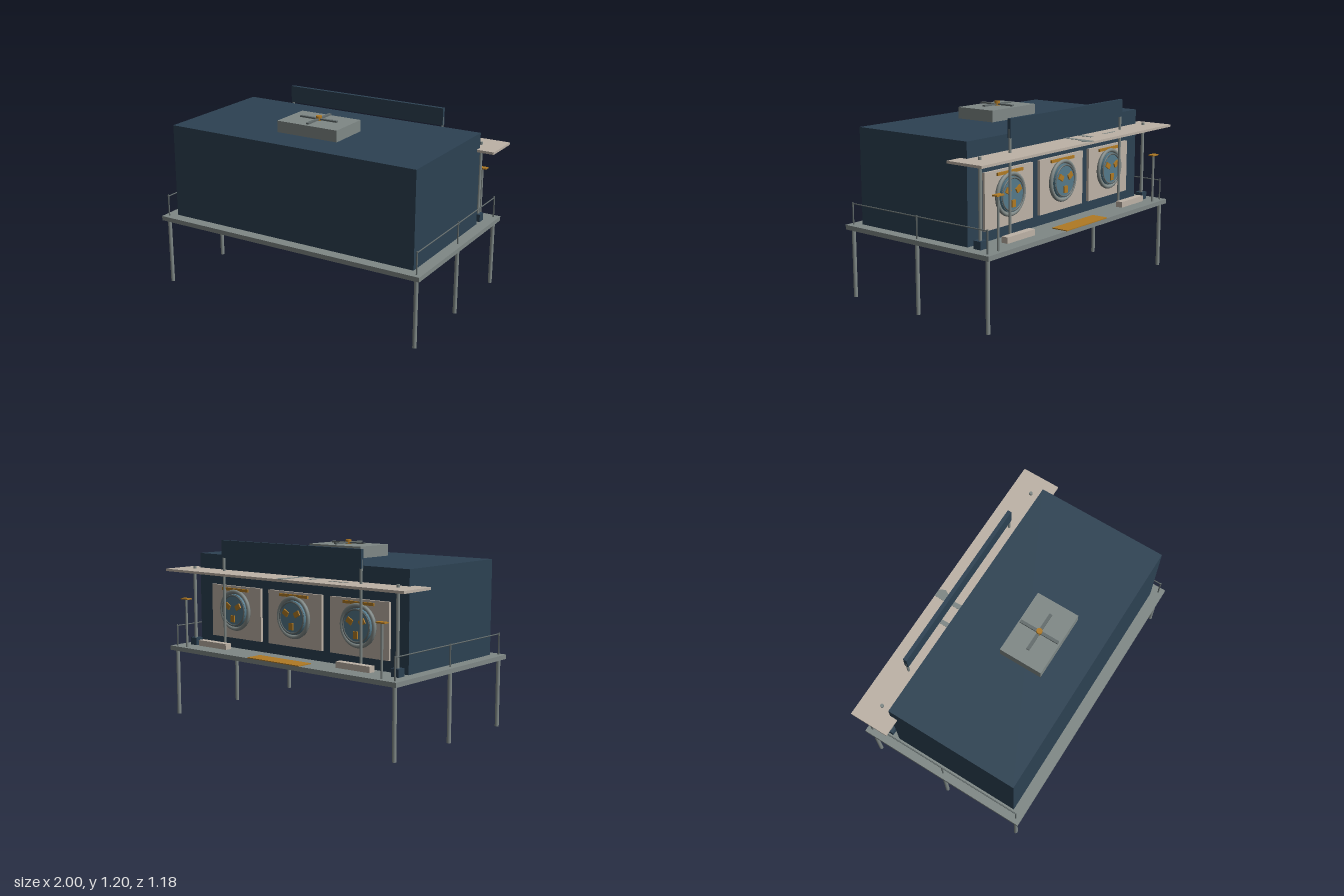
import * as THREE from 'three';

const mat = (name, color) => {
  const m = new THREE.MeshStandardMaterial({ color });
  m.name = name;
  return m;
};

export function createModel() {
  const navy = mat('navy', 0x2c4152);
  const grey = mat('grey', 0x7f8886);
  const darkGrey = mat('dark grey', 0x626b6b);
  const beige = mat('beige', 0xbdb2a6);
  const ochre = mat('ochre', 0xb07a24);
  const teal = mat('teal', 0x54798a);

  const model = new THREE.Group();
  model.name = 'stiltBuilding';

  const add = (name, geo, material, x, y, z, parent = model) => {
    const m = new THREE.Mesh(geo, material);
    m.name = name;
    m.position.set(x, y, z);
    parent.add(m);
    return m;
  };
  // box given by its centre in x and z and its bottom and top in y
  const box = (name, material, w, d, y0, y1, x, z, parent) =>
    add(name, new THREE.BoxGeometry(w, y1 - y0, d), material, x, (y0 + y1) / 2, z, parent);
  const pole = (name, material, r, y0, y1, x, z) =>
    add(name, new THREE.CylinderGeometry(r, r, y1 - y0, 12), material, x, (y0 + y1) / 2, z);
  // disc whose axis runs along z
  const disc = (name, material, r, z0, z1, parent) => {
    const g = new THREE.CylinderGeometry(r, r, z1 - z0, 32).rotateX(Math.PI / 2);
    return add(name, g, material, 0, 0, (z0 + z1) / 2, parent);
  };

  // platform and main hall
  box('platform', grey, 1.92, 1.18, 0.445, 0.475, 0, 0);
  box('hall', navy, 1.77, 0.885, 0.475, 1.095, 0, 0.073);

  // legs and side railings
  for (const s of [-1, 1]) {
    for (const z of [-0.555, 0, 0.555]) {
      pole('leg', grey, 0.013, 0, 0.446, s * 0.925, z);
      pole('railingPost', darkGrey, 0.005, 0.475, 0.62, s * 0.925, z);
    }
    const rail = new THREE.CylinderGeometry(0.004, 0.004, 1.12, 8).rotateX(Math.PI / 2);
    add('handrail', rail, darkGrey, s * 0.925, 0.611, 0);
  }

  // roof ventilator
  box('ventHousing', grey, 0.44, 0.29, 1.095, 1.17, 0, 0.147);
  box('fanBlade', darkGrey, 0.27, 0.02, 1.175, 1.185, 0, 0.147);
  box('fanBlade', darkGrey, 0.02, 0.27, 1.175, 1.185, 0, 0.147);
  pole('fanHub', ochre, 0.019, 1.17, 1.2, 0, 0.147);

  // awning with worn patches
  box('awning', beige, 2, 0.26, 0.98, 0.996, 0, -0.45);
  const patch = (points) => {
    const shape = new THREE.Shape(points.map(([x, z]) => new THREE.Vector2(x, -z)));
    const g = new THREE.ExtrudeGeometry(shape, { depth: 0.002, bevelEnabled: false });
    add('awningPatch', g.rotateX(-Math.PI / 2), grey, 0, 0.996, 0);
  };
  patch([[-0.08, -0.58], [-0.03, -0.58], [-0.01, -0.54], [-0.05, -0.47], [-0.045, -0.37], [-0.08, -0.37]]);
  patch([[-0.22, -0.475], [-0.19, -0.475], [-0.19, -0.38], [-0.22, -0.38]]);
  patch([[-0.5, -0.455], [-0.47, -0.467], [-0.35, -0.465], [-0.35, -0.455]]);

  // sign board
  box('signBoard', navy, 1.18, 0.025, 1.085, 1.2, 0, -0.438);

  // posts, bollards and benches on both sides
  for (const s of [-1, 1]) {
    pole('signPost', grey, 0.009, 0.475, 1.14, s * 0.582, -0.438);
    pole('awningPost', grey, 0.011, 0.475, 1.013, s * 0.86, -0.445);
    box('postBase', navy, 0.055, 0.055, 0.475, 0.525, s * 0.86, -0.443);
    pole('bollard', grey, 0.008, 0.475, 0.8, s * 0.83, -0.555);
    box('bollardCap', ochre, 0.065, 0.04, 0.798, 0.806, s * 0.83, -0.555);
    box('bench', beige, 0.26, 0.046, 0.493, 0.531, s * 0.6, -0.518);
  }
  box('doormat', ochre, 0.44, 0.113, 0.475, 0.481, 0, -0.536);

  // three round-doored panels
  for (const x of [-0.525, 0, 0.525]) {
    const unit = new THREE.Group();
    unit.name = 'washerPanel';
    unit.position.set(x, 0.735, 0);
    model.add(unit);
    box('panel', beige, 0.455, 0.02, -0.19, 0.16, 0, -0.378, unit);
    box('panelBar', ochre, 0.24, 0.012, 0.128, 0.146, 0, -0.394, unit);
    disc('doorBack', darkGrey, 0.135, -0.396, -0.385, unit);
    add('doorRing', new THREE.TorusGeometry(0.125, 0.013, 10, 40), grey, 0, 0, -0.398, unit);
    disc('doorGlass', teal, 0.108, -0.415, -0.39, unit);
    add('innerRing', new THREE.TorusGeometry(0.1, 0.006, 8, 36), darkGrey, 0, 0, -0.414, unit);
    for (let i = 0; i < 3; i++) {
      const a = -Math.PI / 2 + (i * 2 * Math.PI) / 3;
      const pad = add('drumPaddle', new THREE.BoxGeometry(0.045, 0.034, 0.012), ochre,
        0.055 * Math.cos(a), 0.055 * Math.sin(a), -0.418, unit);
      pad.rotation.z = a;
    }
  }
  return model;
}
